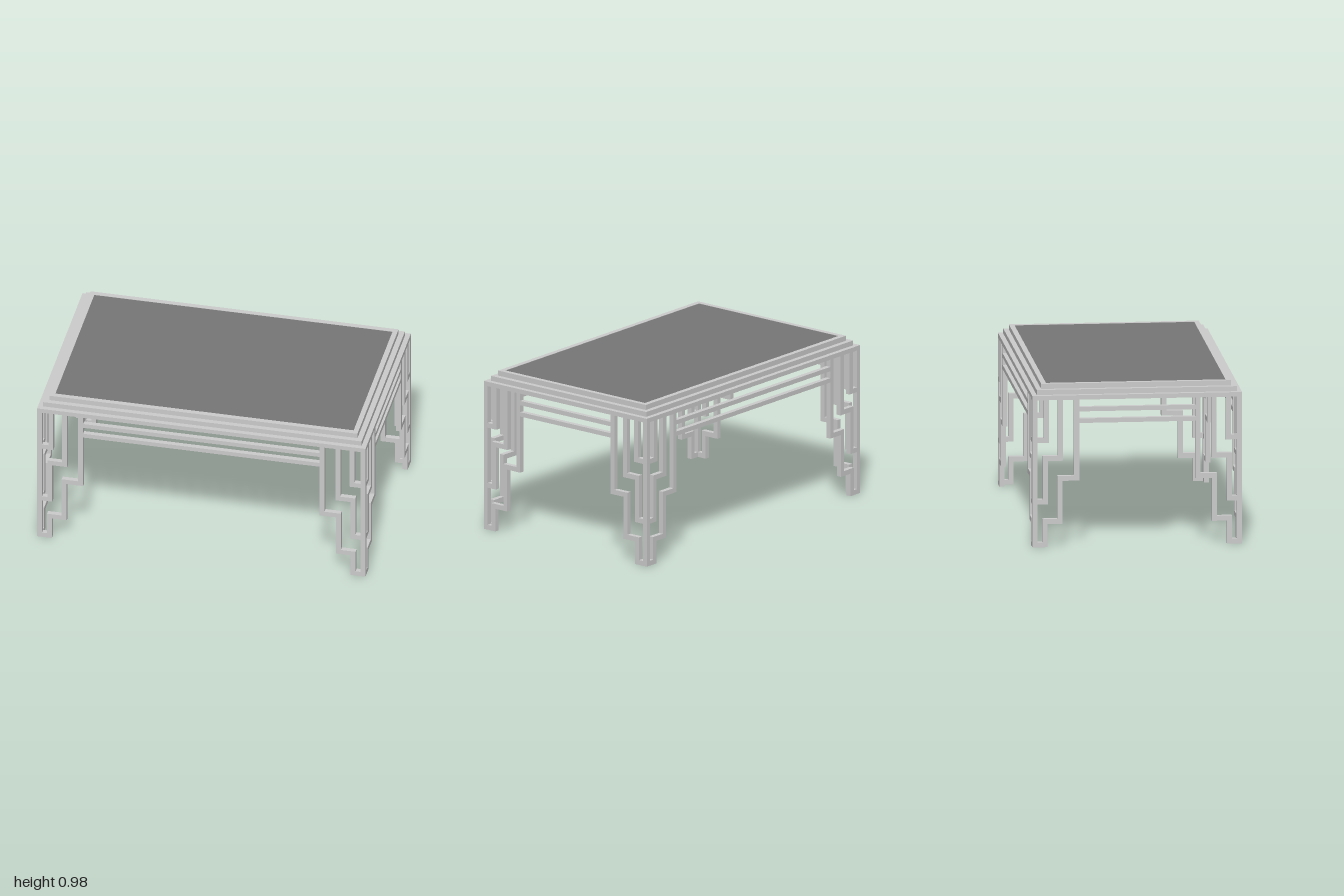
import * as THREE from 'three';

const W = 1, D = 0.627;          // half width and half depth
const BAR = 0.03;                // square bar thickness
const LEG_TOP = 0.89;

const frameMat = new THREE.MeshStandardMaterial({ color: 0xcccccc });
const panelMat = new THREE.MeshStandardMaterial({ color: 0x777777 });

function box(name, w, h, d, x, y, z, mat = frameMat) {
  const m = new THREE.Mesh(new THREE.BoxGeometry(w, h, d), mat);
  m.name = name;
  m.position.set(x, y, z);
  return m;
}

// Mitred square bar following a right-angled centreline of [x, y] points
function barGeometry(pts) {
  const p = pts.map(([x, y]) => new THREE.Vector2(x, y));
  const normals = p.slice(1).map((b, i) => {
    const t = b.clone().sub(p[i]).normalize();
    return new THREE.Vector2(-t.y, t.x);
  });
  const offset = (s) => p.map((v, i) => {
    const o = new THREE.Vector2();
    if (i > 0) o.add(normals[i - 1]);
    if (i < normals.length) o.add(normals[i]);
    return v.clone().addScaledVector(o, s * BAR / 2);
  });
  const shape = new THREE.Shape([...offset(-1), ...offset(1).reverse()]);
  return new THREE.ExtrudeGeometry(shape, { depth: BAR, bevelEnabled: false });
}

// Stepped bars of one leg face; x is the distance in from the corner
const LEG_BARS = {
  outerStep: [[0.03, 0.015], [0.075, 0.015], [0.075, 0.155], [0.165, 0.155],
    [0.165, 0.415], [0.265, 0.415], [0.265, LEG_TOP]],
  middleStep: [[0.03, 0.275], [0.077, 0.275], [0.077, 0.537], [0.168, 0.537], [0.168, LEG_TOP]],
  innerStep: [[0.03, 0.647], [0.083, 0.647], [0.083, LEG_TOP]],
};

// One side of the base: two stepped leg faces and the two rails between them
function sideFrame(name, half) {
  const g = new THREE.Group();
  g.name = name;
  for (const s of [-1, 1]) {
    for (const [bar, pts] of Object.entries(LEG_BARS)) {
      const path = pts.map(([d, y]) => [s * (half - d), y]);
      // Keep the same winding on both mirrored halves
      const mesh = new THREE.Mesh(barGeometry(s > 0 ? path : path.reverse()), frameMat);
      mesh.name = bar;
      mesh.position.z = -BAR;
      g.add(mesh);
    }
  }
  for (const y of [0.832, 0.762]) {
    g.add(box('rail', 2 * (half - 0.28), 0.027, BAR, 0, y, -BAR / 2));
  }
  return g;
}

// Rectangular ring of the table top with an open middle
function topTier(hw, hd, y0, y1) {
  const rect = (P, a, b) => new P([[-a, -b], [a, -b], [a, b], [-a, b]]
    .map(([x, y]) => new THREE.Vector2(x, y)));
  const shape = rect(THREE.Shape, hw, hd);
  shape.holes.push(rect(THREE.Path, 0.908, 0.537));
  const geo = new THREE.ExtrudeGeometry(shape, { depth: y1 - y0, bevelEnabled: false });
  geo.rotateX(-Math.PI / 2);
  const m = new THREE.Mesh(geo, frameMat);
  m.name = 'topTier';
  m.position.y = y0;
  return m;
}

export function createModel() {
  const model = new THREE.Group();
  model.name = 'table';

  // Base sides
  const sides = [
    ['frontFrame', W, D, 0], ['leftFrame', D, W, 1],
    ['backFrame', W, D, 2], ['rightFrame', D, W, 3],
  ];
  for (const [name, half, out, turn] of sides) {
    const f = sideFrame(name, half);
    const a = turn * Math.PI / 2;
    f.rotation.y = a;
    f.position.set(Math.sin(a) * out, 0, Math.cos(a) * out);
    model.add(f);
  }

  // Corner posts
  for (const sx of [-1, 1]) for (const sz of [-1, 1]) {
    model.add(box('cornerPost', BAR, LEG_TOP, BAR,
      sx * (W - BAR / 2), LEG_TOP / 2, sz * (D - BAR / 2)));
  }

  // Stepped top and its inset panel
  model.add(topTier(W, D, LEG_TOP, 0.917));
  model.add(topTier(0.97, 0.598, 0.917, 0.947));
  model.add(topTier(0.938, 0.568, 0.947, 0.978));
  model.add(box('topPanel', 1.816, 0.026, 1.074, 0, 0.963, 0, panelMat));
  return model;
}
